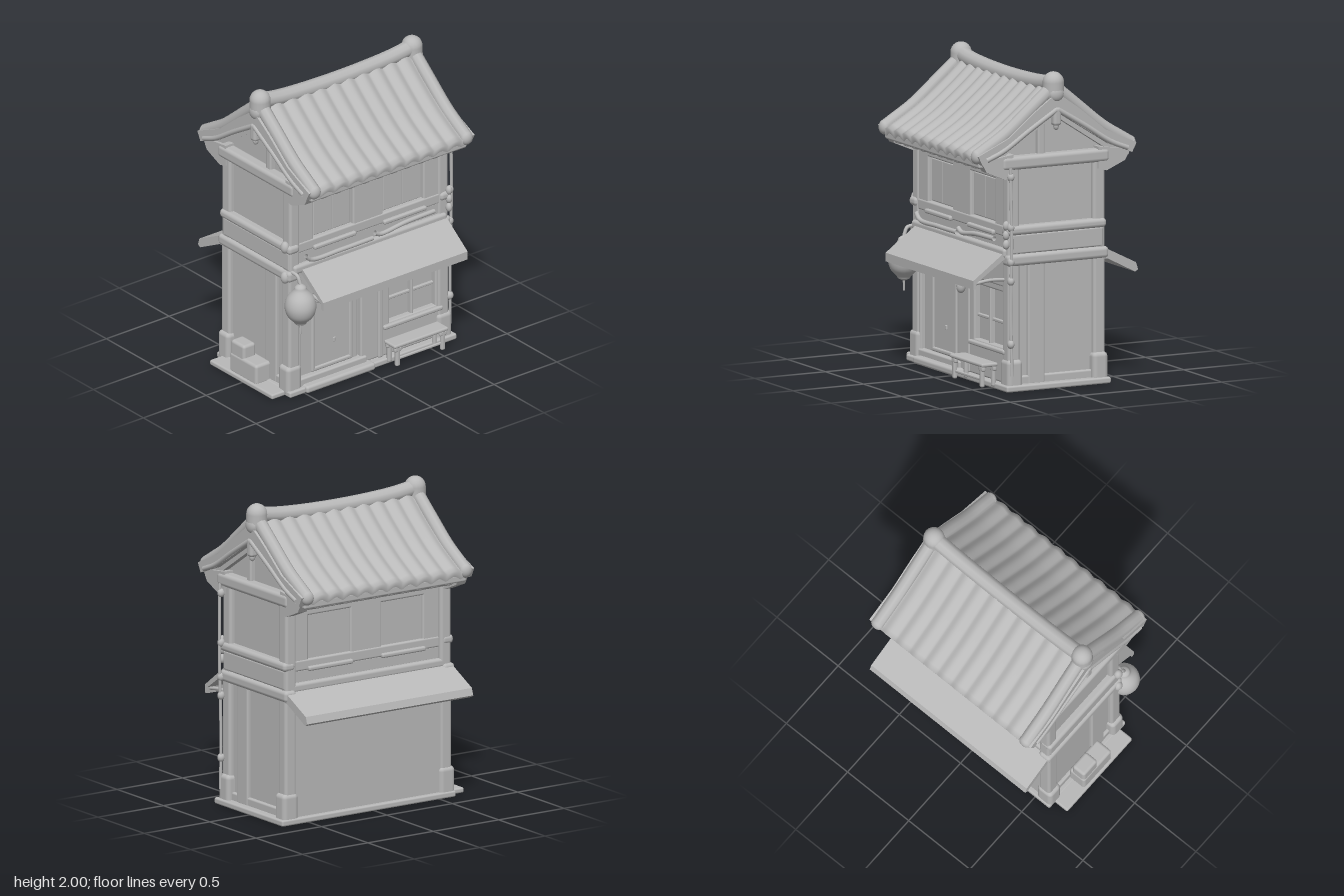
import * as THREE from 'three';
import { RoundedBoxGeometry } from 'three/addons/geometries/RoundedBoxGeometry.js';

export function createModel() {
  const root = new THREE.Group();
  const clay = new THREE.MeshStandardMaterial({ color: 0xb8b8b8, side: THREE.DoubleSide });
  clay.name = 'clay grey';
  const CX = 0.035; // centre line of the house body

  const add = (name, geo, parent = root) => {
    const m = new THREE.Mesh(geo, clay);
    m.name = name;
    parent.add(m);
    return m;
  };
  // Soft-edged block from its limits
  const box = (name, x0, x1, y0, y1, z0, z1, r = 0.012) => {
    const w = x1 - x0, h = y1 - y0, d = z1 - z0;
    const g = new RoundedBoxGeometry(w, h, d, 2, Math.min(r, w * 0.45, h * 0.45, d * 0.45));
    return add(name, g.translate((x0 + x1) / 2, (y0 + y1) / 2, (z0 + z1) / 2));
  };
  // Front or back block: s = 1 front, -1 back
  const face = (s, name, x0, x1, y0, y1, z0, z1, r) =>
    s > 0 ? box(name, x0, x1, y0, y1, z0, z1, r) : box(name, x0, x1, y0, y1, -z1, -z0, r);
  // Side block: distances measured outward from the centre line
  const side = (s, name, a, b, y0, y1, z0, z1, r) =>
    box(name, s > 0 ? CX + a : CX - b, s > 0 ? CX + b : CX - a, y0, y1, z0, z1, r);
  // Section in z,y pushed along x
  const prism = (name, pts, x0, x1) => {
    const g = new THREE.ExtrudeGeometry(new THREE.Shape(pts.map(p => new THREE.Vector2(...p))),
      { depth: x1 - x0, bevelEnabled: false });
    return add(name, g.rotateY(-Math.PI / 2).translate(x1, 0, 0));
  };
  const tube = (name, pts, r, n = 24) => add(name, new THREE.TubeGeometry(
    new THREE.CatmullRomCurve3(pts.map(p => new THREE.Vector3(...p))), n, r, 10));
  const ball = (name, x, y, z, rx, ry, rz) =>
    add(name, new THREE.SphereGeometry(1, 20, 14).scale(rx, ry, rz).translate(x, y, z));

  // Base and wall cores
  box('base', -0.62, 0.71, 0, 0.04, -0.375, 0.365);
  box('sidePlinth', -0.72, -0.55, 0, 0.035, -0.32, 0.31);
  box('lowerCore', CX - 0.605, CX + 0.605, 0.01, 0.86, -0.345, 0.285);
  box('upperCore', CX - 0.6, CX + 0.6, 0.85, 1.42, -0.31, 0.295);

  // Corner posts, side beams and panels
  for (const s of [1, -1]) {
    for (const [z0, z1] of [[0.25, 0.335], [-0.355, -0.27]]) {
      side(s, 'lowerPost', 0.55, 0.637, 0.02, 0.86, z0, z1, 0.02);
      side(s, 'postFoot', 0.54, 0.658, 0, 0.2, z0 - 0.012, z1 + 0.012, 0.03);
      side(s, 'upperPost', 0.55, 0.632, 0.84, 1.42, z0, z1, 0.02);
    }
    side(s, 'sideStud', 0.58, 0.628, 0.03, 0.82, 0.07, 0.19);
    side(s, 'sideSill', 0.58, 0.625, 0.02, 0.09, -0.3, 0.3);
    side(s, 'lowerSideBeam', 0.56, 0.65, 0.79, 0.865, -0.375, 0.345, 0.025);
    side(s, 'middleSideBeam', 0.56, 0.635, 0.865, 0.99, -0.34, 0.325);
    side(s, 'upperSideBeam', 0.56, 0.65, 0.985, 1.045, -0.36, 0.35, 0.025);
    side(s, 'topSideBeam', 0.56, 0.648, 1.4, 1.485, -0.38, 0.38, 0.025);
  }

  // Roof slab with closed gable
  prism('roofBody', [[-0.54, 1.49], [-0.34, 1.61], [-0.15, 1.76], [0, 1.89], [0.15, 1.76], [0.34, 1.61],
    [0.54, 1.49], [0.51, 1.43], [0.37, 1.48], [0, 1.72], [-0.37, 1.48], [-0.51, 1.43]], CX - 0.62, CX + 0.62);
  prism('gableWall', [[-0.38, 1.42], [0.38, 1.42], [0.36, 1.5], [0, 1.76], [-0.36, 1.5]], CX - 0.575, CX + 0.575);

  // Ribbed tile sheets, curved down the slope and turned under at the eave
  const slope = new THREE.CatmullRomCurve3([[0, 1.92], [0.08, 1.85], [0.155, 1.785], [0.34, 1.64], [0.46, 1.565], [0.565, 1.505]]
    .map(([z, y]) => new THREE.Vector3(0, y, z)));
  const NX = 132, NV = 16, RIBS = 11;
  for (const s of [1, -1]) {
    const pos = [], idx = [];
    for (let j = 0; j <= NV + 1; j++) {
      const p = slope.getPoint(Math.min(j, NV) / NV);
      for (let i = 0; i <= NX; i++) {
        const u = i / NX;
        const wave = 0.016 * Math.pow(Math.abs(Math.cos(Math.PI * RIBS * u)), 1.4) - 0.006;
        const drop = j > NV ? 0.045 - wave * 0.6 : 0;
        pos.push(CX - 0.62 + 1.24 * u, p.y + wave - drop, s * (p.z + wave * 0.5 - (j > NV ? 0.012 : 0)));
        if (i < NX && j <= NV) {
          const a = j * (NX + 1) + i, b = a + NX + 1;
          if (s > 0) idx.push(a, b, a + 1, b, b + 1, a + 1);
          else idx.push(a, a + 1, b, b, a + 1, b + 1);
        }
      }
    }
    const g = new THREE.BufferGeometry();
    g.setAttribute('position', new THREE.Float32BufferAttribute(pos, 3));
    g.setIndex(idx);
    g.computeVertexNormals();
    add('roofTiles', g);

    // Eave fascia, rafter ends and wall plate
    face(s, 'eaveFascia', CX - 0.62, CX + 0.62, 1.425, 1.475, 0.49, 0.535);
    face(s, 'wallPlate', CX - 0.63, CX + 0.63, 1.365, 1.43, 0.27, 0.375, 0.02);
    for (let i = 0; i < 10; i++) {
      const r = face(s, 'rafterEnd', -0.03, 0.03, -0.025, 0.03, -0.12, 0.12, 0.015);
      r.position.set(CX - 0.5 + i * 0.111, 1.415, s * 0.4);
      r.rotation.x = -s * 0.2;
    }

    // Upper storey: bay frames around two shuttered windows
    face(s, 'upperHeader', CX - 0.57, CX + 0.57, 1.32, 1.38, 0.27, 0.325);
    face(s, 'upperSillBeam', CX - 0.6, CX + 0.6, 0.97, 1.04, 0.27, 0.33);
    for (const [a, b] of [[-0.56, -0.4], [-0.085, 0.155], [0.475, 0.62]])
      face(s, 'upperPier', a, b, 1.0, 1.36, 0.27, 0.325);
    for (const [a, b] of [[-0.4, -0.085], [0.155, 0.475]]) {
      const m = (a + b) / 2;
      face(s, 'shutter', a + 0.01, m, 1.045, 1.315, 0.28, 0.307, 0.006);
      face(s, 'shutter', m, b - 0.01, 1.045, 1.315, 0.28, 0.307, 0.006);
      face(s, 'windowSill', a - 0.01, b + 0.01, 0.965, 0.995, 0.3, 0.35);
    }
    face(s, 'floorBeam', CX - 0.61, CX + 0.61, 0.84, 0.9, 0.27, 0.355, 0.02);
    face(s, 'floorBand', CX - 0.6, CX + 0.6, 0.89, 0.98, 0.26, 0.325);
  }

  // Front balcony rails with turned-up ends
  tube('balconyRail', [[-0.49, 0.955, 0.36], [-0.45, 0.92, 0.36], [-0.2, 0.915, 0.362], [0.04, 0.915, 0.36]], 0.015);
  tube('balconyRail', [[0.06, 0.945, 0.36], [0.1, 0.925, 0.36], [0.3, 0.945, 0.362], [0.53, 0.95, 0.36]], 0.015);

  // Sagging ridge roll with round end caps
  tube('ridgeRoll', [[-0.58, 1.925, 0], [-0.4, 1.9, 0], [CX, 1.885, 0], [0.46, 1.9, 0], [0.65, 1.925, 0]], 0.052);
  for (const s of [1, -1]) {
    const x = CX + s * 0.605;
    add('ridgeCap', new THREE.CapsuleGeometry(0.067, 0.07, 6, 18).translate(x, 1.895, 0)).scale.set(1, 1, 1);
    ball('ridgeEnd', CX + s * 0.645, 1.86, 0, 0.03, 0.05, 0.05);
    // Verge rolls and bargeboards down each gable edge
    for (const f of [1, -1]) {
      tube('vergeRoll', [[x, 1.87, f * 0.04], [x, 1.775, f * 0.155], [x, 1.625, f * 0.34], [x, 1.545, f * 0.47], [x, 1.5, f * 0.545]], 0.044);
      ball('vergeEnd', x, 1.5, f * 0.545, 0.044, 0.046, 0.033);
      prism('bargeboard', [[0, 1.87], [f * 0.155, 1.76], [f * 0.34, 1.61], [f * 0.56, 1.51], [f * 0.53, 1.45], [f * 0.37, 1.515], [0, 1.75]],
        s > 0 ? CX + 0.61 : CX - 0.66, s > 0 ? CX + 0.66 : CX - 0.61);
      tube('vergeTrim', [[CX + s * 0.655, 1.76, f * 0.01], [CX + s * 0.655, 1.645, f * 0.2], [CX + s * 0.655, 1.53, f * 0.38], [CX + s * 0.655, 1.48, f * 0.5]], 0.017);
      // Bracket running from the wall to the eave
      prism('eaveBracket', [[f * 0.3, 1.36], [f * 0.36, 1.345], [f * 0.49, 1.4], [f * 0.53, 1.47], [f * 0.3, 1.5]],
        s > 0 ? CX + 0.57 : CX - 0.64, s > 0 ? CX + 0.64 : CX - 0.57);
    }
    side(s, 'kingPost', 0.56, 0.61, 1.46, 1.75, 0.06, 0.11);
    side(s, 'gablePendant', 0.61, 0.67, 1.66, 1.78, -0.028, 0.028, 0.02);
    ball('pendantTip', CX + s * 0.64, 1.66, 0, 0.02, 0.03, 0.018);
  }

  // Front awning with side stays, back lean-to roof
  prism('frontAwning', [[0.31, 0.875], [0.36, 0.865], [0.565, 0.715], [0.565, 0.66], [0.545, 0.66], [0.54, 0.7], [0.35, 0.83], [0.31, 0.84]], -0.515, 0.635);
  for (const x of [-0.49, 0.61]) tube('awningStay', [[x, 0.7, 0.32], [x, 0.705, 0.43], [x, 0.69, 0.55]], 0.011);
  prism('backLeanTo', [[-0.32, 0.865], [-0.37, 0.845], [-0.57, 0.745], [-0.585, 0.7], [-0.565, 0.685], [-0.37, 0.785], [-0.32, 0.79]], CX - 0.635, CX + 0.635);

  // Shop front: door bay
  face(1, 'shopLintel', CX - 0.57, CX + 0.57, 0.65, 0.85, 0.27, 0.33);
  face(1, 'doorJamb', -0.54, -0.5, 0.03, 0.67, 0.26, 0.325);
  face(1, 'doorPanel', -0.505, -0.03, 0.07, 0.66, 0.27, 0.295);
  for (const [a, b, c, d] of [[-0.4, -0.37, 0.1, 0.59], [-0.1, -0.07, 0.1, 0.59], [-0.4, -0.07, 0.56, 0.59], [-0.4, -0.07, 0.09, 0.12]])
    face(1, 'doorFrame', a, b, c, d, 0.28, 0.306);
  face(1, 'doorHandle', -0.225, -0.205, 0.25, 0.28, 0.29, 0.303, 0.004);
  face(1, 'threshold', -0.52, 0.02, 0.03, 0.09, 0.26, 0.335);
  face(1, 'doorStep', -0.5, 0.05, 0, 0.05, 0.3, 0.385, 0.018);
  face(1, 'centrePost', -0.02, 0.12, 0.04, 0.67, 0.26, 0.32);
  face(1, 'centrePostEdge', 0.11, 0.15, 0.04, 0.67, 0.26, 0.335);
  // Small sign bracket on the centre post
  face(1, 'bracketArm', 0.04, 0.12, 0.62, 0.645, 0.31, 0.39);
  ball('bracketCup', 0.085, 0.58, 0.355, 0.03, 0.045, 0.03);

  // Shop front: window bay
  for (const [a, b, c, d] of [[0.14, 0.205, 0.2, 0.66], [0.57, 0.63, 0.2, 0.66], [0.14, 0.63, 0.615, 0.67], [0.14, 0.63, 0.04, 0.265]])
    face(1, 'windowSurround', a, b, c, d, 0.265, 0.325);
  face(1, 'windowMullion', 0.38, 0.4, 0.25, 0.63, 0.27, 0.318);
  face(1, 'windowBar', 0.2, 0.575, 0.405, 0.425, 0.275, 0.302, 0.006);
  face(1, 'windowLedge', 0.15, 0.62, 0.225, 0.255, 0.3, 0.345);

  // Bench
  face(1, 'benchSeat', 0.135, 0.565, 0.145, 0.17, 0.35, 0.465);
  face(1, 'benchRail', 0.18, 0.52, 0.055, 0.072, 0.435, 0.45, 0.006);
  for (const x of [0.17, 0.53]) for (const z of [0.365, 0.445]) {
    face(1, 'benchLeg', x - 0.016, x + 0.016, 0.015, 0.155, z - 0.014, z + 0.014);
    face(1, 'benchApron', x - 0.028, x + 0.028, 0.115, 0.15, z - 0.014, z + 0.014);
  }

  // Hanging lantern
  const lantern = [[0, 0.515], [0.035, 0.53], [0.045, 0.545], [0.085, 0.59], [0.1, 0.65], [0.085, 0.71], [0.045, 0.76], [0.035, 0.785], [0.015, 0.8], [0, 0.805]];
  add('lantern', new THREE.LatheGeometry(new THREE.SplineCurve(lantern.map(p => new THREE.Vector2(...p))).getPoints(36), 28))
    .position.set(-0.57, 0, 0.405);
  add('lanternTassel', new THREE.CylinderGeometry(0.009, 0.006, 0.08, 8).translate(-0.57, 0.495, 0.405));
  tube('lanternHanger', [[-0.57, 0.8, 0.405], [-0.575, 0.85, 0.38], [-0.58, 0.86, 0.31]], 0.012);

  // Drain pipe and clips at the front corner
  tube('drainPipe', [[0.69, 0.1, 0.32], [0.685, 0.5, 0.325], [0.695, 0.95, 0.325], [0.69, 1.42, 0.33]], 0.01, 40);
  for (const y of [0.3, 0.7, 0.82, 1.04, 1.36]) ball('pipeClip', 0.683, y, 0.325, 0.025, 0.028, 0.022);
  for (const y of [0.93, 0.99, 1.05]) ball('cornerKnob', 0.66, y, 0.345, 0.02, 0.03, 0.022);
  for (const y of [0.82, 1.03]) ball('leftCornerKnob', -0.61, y, 0.3, 0.028, 0.04, 0.03);

  // Crates beside the house
  box('lowCrate', -0.705, -0.58, 0.02, 0.16, -0.14, 0.13, 0.02);
  box('tallCrate', -0.7, -0.6, 0.02, 0.245, -0.135, 0.0, 0.02);
  return root;
}
